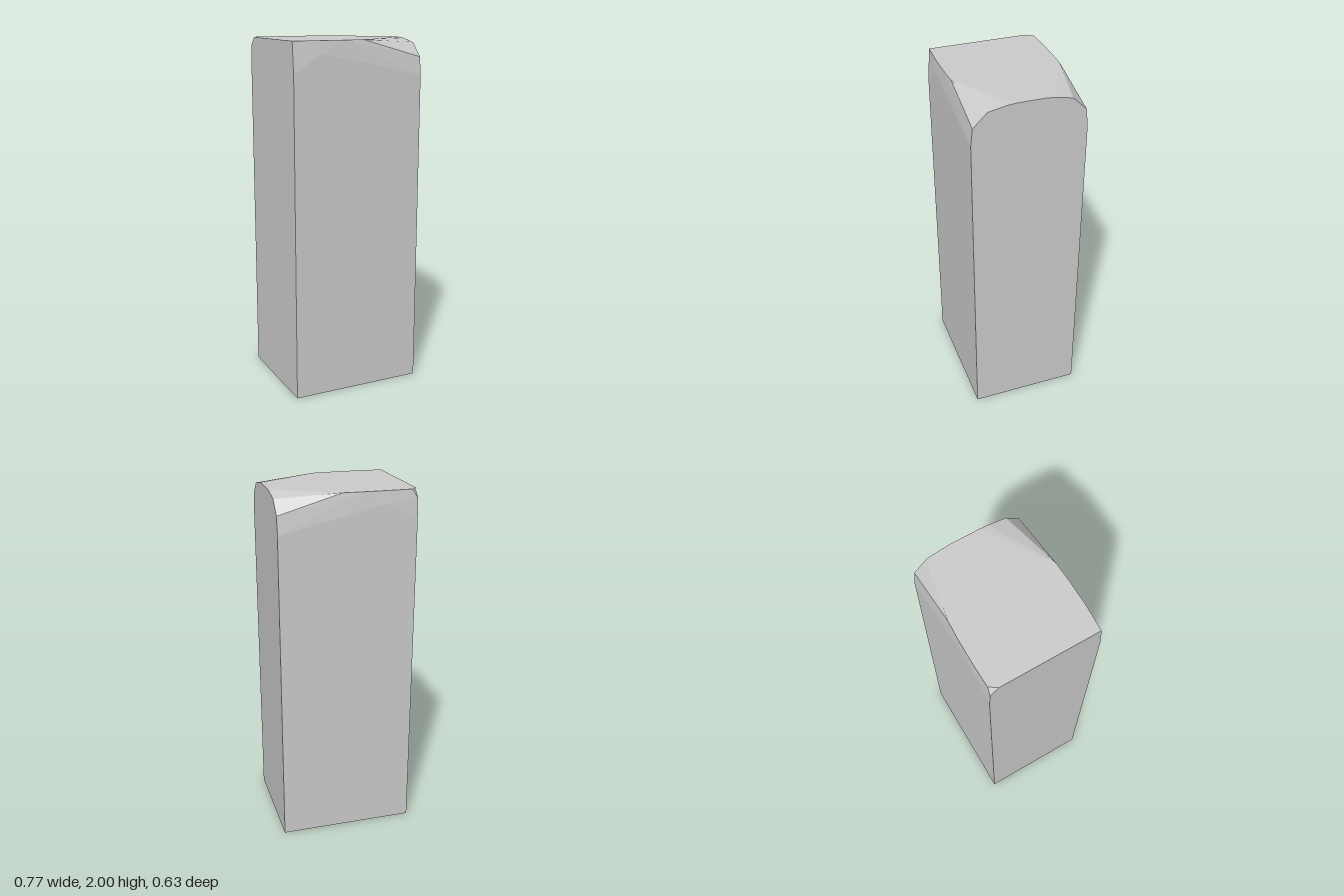
import * as THREE from 'three';
import { ConvexGeometry } from 'three/addons/geometries/ConvexGeometry.js';

const X = 0.383; // half width
const Z = 0.315; // half depth

export function createModel() {
  const group = new THREE.Group();
  group.name = 'roundedBlock';
  const points = [];
  const add = (x, y, z) => points.push(new THREE.Vector3(x, y, z));

  for (const s of [1, -1]) {
    // Square base
    add(-X, 0, s * Z);
    add(X, 0, s * Z);
    // Upper limit of the upright walls
    for (const [x, y] of [[-X, 1.83], [-0.22, 1.93], [0.03, 1.88], [X, 1.8]]) add(x, y, s * Z);
    // Bowed long edges of the flat top
    for (const [x, z] of [[-0.23, 0.308], [-0.09, 0.307], [0.03, 0.302]]) add(x, 2, s * z);
    // Arched end
    for (const [y, z] of [[1.9, 0.304], [1.972, 0.23], [1.977, 0.22], [1.996, 0.122], [2, 0.075]]) add(X, y, s * z);
  }
  // Square front corner and clipped back corner of the flat end
  add(-X, 2, 0.301);
  add(-0.352, 2, -0.305);
  add(-X, 2, -0.262);
  add(-X, 1.95, -0.309);

  const block = new THREE.Mesh(
    new ConvexGeometry(points),
    new THREE.MeshStandardMaterial({ color: 0xcccccc, flatShading: true })
  );
  block.name = 'block';
  group.add(block);
  return group;
}
